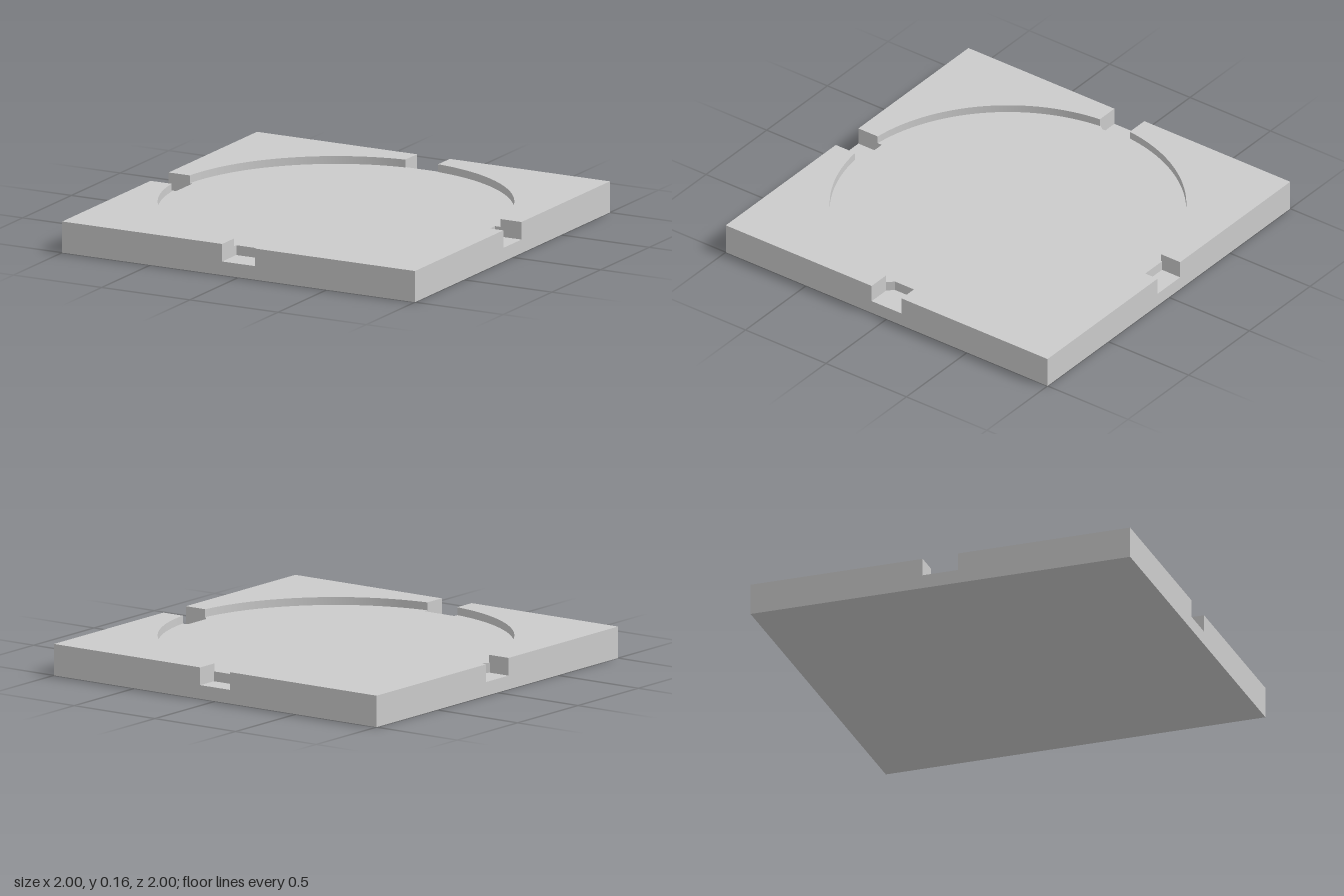
import * as THREE from 'three';
import { toCreasedNormals } from 'three/addons/utils/BufferGeometryUtils.js';

const BASE = 0.07, FLOOR = 0.12, TOP = 0.16; // heights of notch floor, recess floor, rim
const R = 0.885, W = 0.093;                  // recess radius, notch half width

export function createModel() {
  const group = new THREE.Group();
  const material = new THREE.MeshStandardMaterial({ color: 0xcccccc });

  // Extrude a plan outline (shape y = -z) between two heights
  const slab = (name, shape, y0, y1) => {
    const geo = new THREE.ExtrudeGeometry(shape, { depth: y1 - y0, bevelEnabled: false, curveSegments: 40 });
    geo.rotateX(-Math.PI / 2).translate(0, y0, 0);
    const mesh = new THREE.Mesh(toCreasedNormals(geo, 0.5), material);
    mesh.name = name;
    group.add(mesh);
    return mesh;
  };
  const outline = (pts) => new THREE.Shape(pts.map(([x, y]) => new THREE.Vector2(x, y)));

  // Solid bottom plate
  slab('basePlate', outline([[-1, -1], [1, -1], [1, 1], [-1, 1]]), 0, BASE);

  // Recess floor, cut by one notch per side; the side notches have one clipped corner
  slab('recessFloor', outline([
    [-1, -1], [-W, -1], [-W, -0.855], [W, -0.855], [W, -1], [1, -1],
    [1, -W], [0.88, -W], [0.85, -0.06], [0.85, W], [1, W], [1, 1],
    [W, 1], [W, 0.887], [-W, 0.887], [-W, 1], [-1, 1],
    [-1, W], [-0.865, W], [-0.865, -0.065], [-0.885, -W], [-1, -W],
  ]), BASE, FLOOR);

  // Four raised corners around the round recess
  const a = Math.asin(W / R);
  const corner = outline([[W, 1], [W, R * Math.cos(a)]]);
  corner.absarc(0, 0, R, Math.PI / 2 - a, a, true);
  corner.lineTo(1, W);
  corner.lineTo(1, 1);
  corner.closePath();
  for (let i = 0; i < 4; i++) {
    slab('rimCorner' + (i + 1), corner, FLOOR, TOP).rotation.y = i * Math.PI / 2;
  }
  return group;
}
